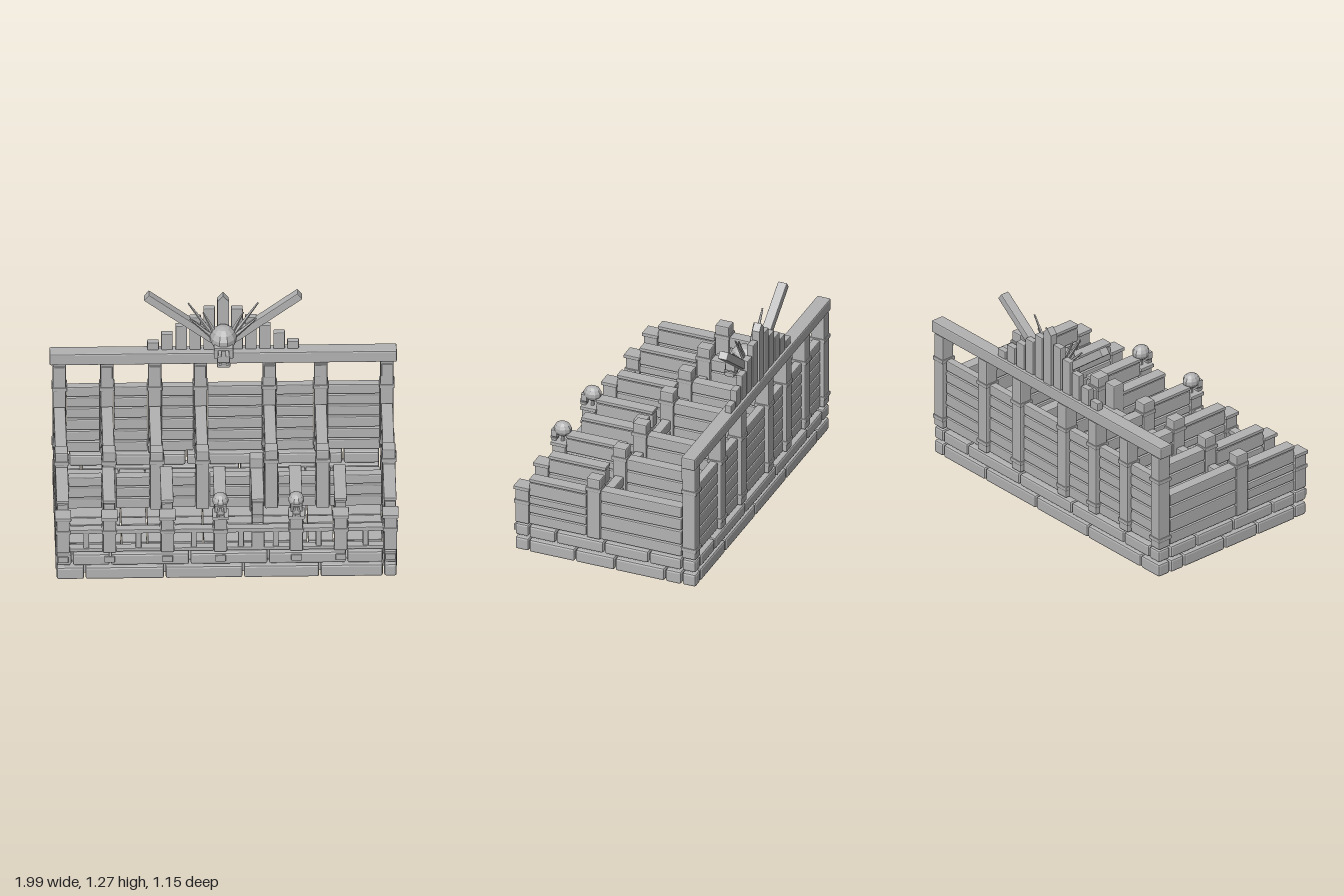
import * as THREE from 'three';
import { RoundedBoxGeometry } from 'three/addons/geometries/RoundedBoxGeometry.js';

export function createModel() {
  const model = new THREE.Group();
  const grey = new THREE.MeshStandardMaterial({ color: 0xb3b3b3 });
  grey.name = 'plainGrey';

  // Small seeded wobble for hand-cut boards
  let seed = 7;
  const wobble = (a) => {
    seed = (seed * 16807) % 2147483647;
    return (seed / 2147483647 - 0.5) * 2 * a;
  };

  // Faceted mesh from any geometry
  function add(name, geometry, parent = model) {
    const g = geometry.index ? geometry.toNonIndexed() : geometry;
    g.computeVertexNormals();
    const mesh = new THREE.Mesh(g, grey);
    mesh.name = name;
    parent.add(mesh);
    return mesh;
  }

  // Chamfered block given by its limits on each axis
  function block(name, x0, x1, y0, y1, z0, z1, bevel = 0.008, parent = model) {
    const w = x1 - x0, h = y1 - y0, d = z1 - z0;
    const r = Math.min(bevel, Math.min(w, h, d) * 0.3);
    const mesh = add(name, new RoundedBoxGeometry(w, h, d, 1, r), parent);
    mesh.position.set((x0 + x1) / 2, (y0 + y1) / 2, (z0 + z1) / 2);
    return mesh;
  }

  // Stone foundation: two staggered courses around the four sides
  const courses = [
    { y0: 0.01, y1: 0.09, xs: [-0.98, -0.815, -0.355, 0.095, 0.535, 0.9, 0.98],
      zs: [-0.487, -0.383, -0.07, 0.178, 0.468] },
    { y0: 0.105, y1: 0.18, xs: [-0.98, -0.888, -0.668, -0.212, 0.238, 0.688, 0.9, 0.98],
      zs: [-0.487, -0.283, -0.002, 0.298, 0.468] },
  ];
  const gap = 0.004;
  for (const { y0, y1, xs, zs } of courses) {
    for (let i = 0; i + 1 < xs.length; i++) {
      block('frontStone', xs[i] + gap, xs[i + 1] - gap, y0, y1, 0.47, 0.552, 0.012);
      block('backStone', xs[i] + gap, xs[i + 1] - gap, y0, y1, -0.574, -0.49, 0.012);
    }
    for (let i = 0; i + 1 < zs.length; i++)
      for (const s of [-0.94, 0.94])
        block('sideStone', s - 0.04, s + 0.04, y0, y1, zs[i] + gap, zs[i + 1] - gap, 0.012);
  }

  // Floor slabs
  const floorX = [-0.9, -0.6, -0.45, -0.13, 0.17, 0.47, 0.62, 0.9];
  const floorZ = [-0.487, -0.24, 0.02, 0.1, 0.285, 0.47];
  for (let i = 0; i + 1 < floorX.length; i++)
    for (let j = 0; j + 1 < floorZ.length; j++)
      block('floorSlab', floorX[i] + 0.003, floorX[i + 1] - 0.003, 0, 0.088,
        floorZ[j] + 0.003, floorZ[j + 1] - 0.003, 0.003);

  // Horizontal boards stacked up a wall
  function boards(name, x0, x1, z0, z1, edges) {
    const alongX = x1 - x0 > z1 - z0;
    for (let i = 0; i + 1 < edges.length; i++) {
      const b = block(name, x0, x1, edges[i] + 0.004, edges[i + 1] - 0.005, z0, z1, 0.006);
      if (alongX) b.rotation.z = wobble(0.012);
      else b.rotation.x = wobble(0.008);
    }
  }

  // Square post with strap collars
  function post(name, x, z, top, collars, half = 0.038) {
    block(name, x - half, x + half, 0.19, top, z - 0.042, z + 0.042, 0.007);
    const c = half + 0.006;
    for (const y of collars)
      block('postCollar', x - c, x + c, y, y + 0.024, z - 0.048, z + 0.048, 0.004);
  }

  // Rear wall, open under the top beam
  const rearX = [-0.94, -0.667, -0.393, -0.13, 0.265, 0.56, 0.94];
  rearX.forEach((x) => {
    post('rearPost', x, -0.532, 0.792, [0.237, 0.62]);
    block('postPlate', x - 0.03, x + 0.03, 0.705, 0.785, -0.492, -0.483, 0.002);
  });
  for (let i = 0; i + 1 < rearX.length; i++)
    boards('rearBoard', rearX[i] + 0.04, rearX[i + 1] - 0.04, -0.552, -0.505,
      [0.19, 0.265, 0.34, 0.42, 0.495, 0.568, 0.642]);
  block('topBeam', -0.997, 0.997, 0.795, 0.87, -0.578, -0.492, 0.008);

  // Middle row of posts and low wall
  rearX.forEach((x) => post('middlePost', x, 0.064, 0.585, [0.502]));
  block('stallEndPost', 0.14, 0.218, 0.19, 0.555, 0.065, 0.14, 0.007);
  for (let i = 0; i + 1 < rearX.length; i++)
    boards('middleBoard', rearX[i] + 0.04, rearX[i + 1] - 0.04, 0.035, 0.09,
      [0.19, 0.265, 0.34, 0.41]);

  // Stall dividers behind and in front of the middle row
  const frontX = [-0.94, -0.673, -0.34, -0.036, 0.18, 0.4, 0.655, 0.94];
  for (const x of rearX)
    boards('rearDividerBoard', x - 0.034, x + 0.034, -0.484, 0.02,
      [0.19, 0.268, 0.362, 0.444, 0.523]);
  for (const x of frontX) {
    boards('frontDividerBoard', x - 0.032, x + 0.032, 0.11, 0.466,
      [0.19, 0.262, 0.324, 0.376, 0.47]);
    block('dividerCap', x - 0.036, x + 0.036, 0.472, 0.492, 0.11, 0.466, 0.004);
  }

  // Front fence: capped posts, rails and slats
  const fenceX = frontX.filter((x) => x !== 0.18);
  fenceX.forEach((x) => {
    post('fencePost', x, 0.51, 0.415, [0.318]);
    block('fencePostCap', x - 0.047, x + 0.047, 0.41, 0.432, 0.461, 0.56, 0.004);
    block('stonePlate', x - 0.03, x + 0.03, 0.13, 0.17, 0.55, 0.562, 0.003);
  });
  block('fenceStub', 0.143, 0.217, 0.19, 0.31, 0.465, 0.535, 0.006);
  for (let i = 0; i + 1 < fenceX.length; i++) {
    const a = fenceX[i] + 0.038, b = fenceX[i + 1] - 0.038, m = (a + b) / 2;
    block('fenceRail', a, b, 0.31, 0.337, 0.485, 0.535, 0.004);
    block('fenceFoot', a, b, 0.188, 0.21, 0.485, 0.535, 0.004);
    const slats = b - a > 0.3 ? [m - 0.1, m + 0.1] : [m];
    for (const s of slats)
      block('fenceSlat', s - 0.016, s + 0.016, 0.2, 0.315, 0.495, 0.53, 0.004);
  }

  // Stepped crest of planks, with a pointed one in the middle
  const crest = [[0.08, 1.15], [0.16, 1.09], [0.24, 1.035], [0.322, 0.98], [0.402, 0.922]];
  for (const s of [-1, 1])
    for (const [x, top] of crest)
      block('crestPlank', s * x - 0.033, s * x + 0.033, 0.872, top, -0.566, -0.526, 0.005);
  const point = new THREE.Shape([[-0.033, 0.872], [0.033, 0.872], [0.033, 1.2], [0, 1.238], [-0.033, 1.2]]
    .map(([x, y]) => new THREE.Vector2(x, y)));
  add('crestPeak', new THREE.ExtrudeGeometry(point, { depth: 0.045, bevelEnabled: false }))
    .position.z = -0.57;

  // Bar between two points
  function bar(name, from, to, r0, r1, sides) {
    const a = new THREE.Vector3(...from), b = new THREE.Vector3(...to);
    const mesh = add(name, new THREE.CylinderGeometry(r1, r0, a.distanceTo(b), sides));
    mesh.position.lerpVectors(a, b, 0.5);
    mesh.quaternion.setFromUnitVectors(new THREE.Vector3(0, 1, 0), b.sub(a).normalize());
  }

  // Crossed beams and thin spikes fanning out of the crest
  for (const s of [-1, 1]) {
    const beam = block('crestBeam', -0.26, 0.26, -0.024, 0.024, -0.028, 0.028, 0.005);
    beam.position.set(s * 0.235, 1.095, -0.518);
    beam.rotation.z = s * Math.atan2(0.315, 0.41);
    bar('crestSpike', [s * 0.04, 0.97, -0.49], [s * 0.2, 1.215, -0.49], 0.016, 0.005, 5);
    bar('crestSpike', [s * 0.03, 0.98, -0.48], [s * 0.115, 1.16, -0.475], 0.016, 0.005, 5);
    bar('crestSpike', [s * 0.05, 0.98, -0.48], [s * 0.19, 1.12, -0.47], 0.014, 0.005, 5);
  }

  // Skull ornament facing forward; k is its scale
  function skull(x, y, z, k) {
    const g = new THREE.Group();
    g.name = 'skull';
    g.position.set(x, y, z);
    g.scale.setScalar(k);
    model.add(g);
    const dome = add('skullDome', new THREE.SphereGeometry(1, 10, 7), g);
    dome.scale.set(0.078, 0.077, 0.09);
    block('skullNose', -0.014, 0.014, -0.07, -0.02, 0.07, 0.112, 0.004, g);
    block('skullUpperJaw', -0.036, 0.036, -0.1, -0.06, 0.04, 0.112, 0.006, g);
    block('skullLowerJaw', -0.038, 0.038, -0.133, -0.106, 0.055, 0.112, 0.006, g);
    for (const s of [-1, 1]) {
      block('skullCheek', s * 0.043 - 0.013, s * 0.043 + 0.013, -0.08, -0.02, 0.04, 0.1, 0.004, g);
      block('skullTooth', s * 0.02 - 0.008, s * 0.02 + 0.008, -0.118, -0.098, 0.1, 0.12, 0.003, g);
    }
    block('skullBrow', -0.055, 0.055, -0.026, -0.008, 0.05, 0.102, 0.004, g);
  }
  skull(0, 0.993, -0.465, 1);
  for (const x of [-0.036, 0.4]) {
    skull(x, 0.511, 0.5, 0.6);
    bar('skullStake', [x, 0.42, 0.5], [x, 0.49, 0.5], 0.012, 0.012, 6);
  }

  return model;
}
